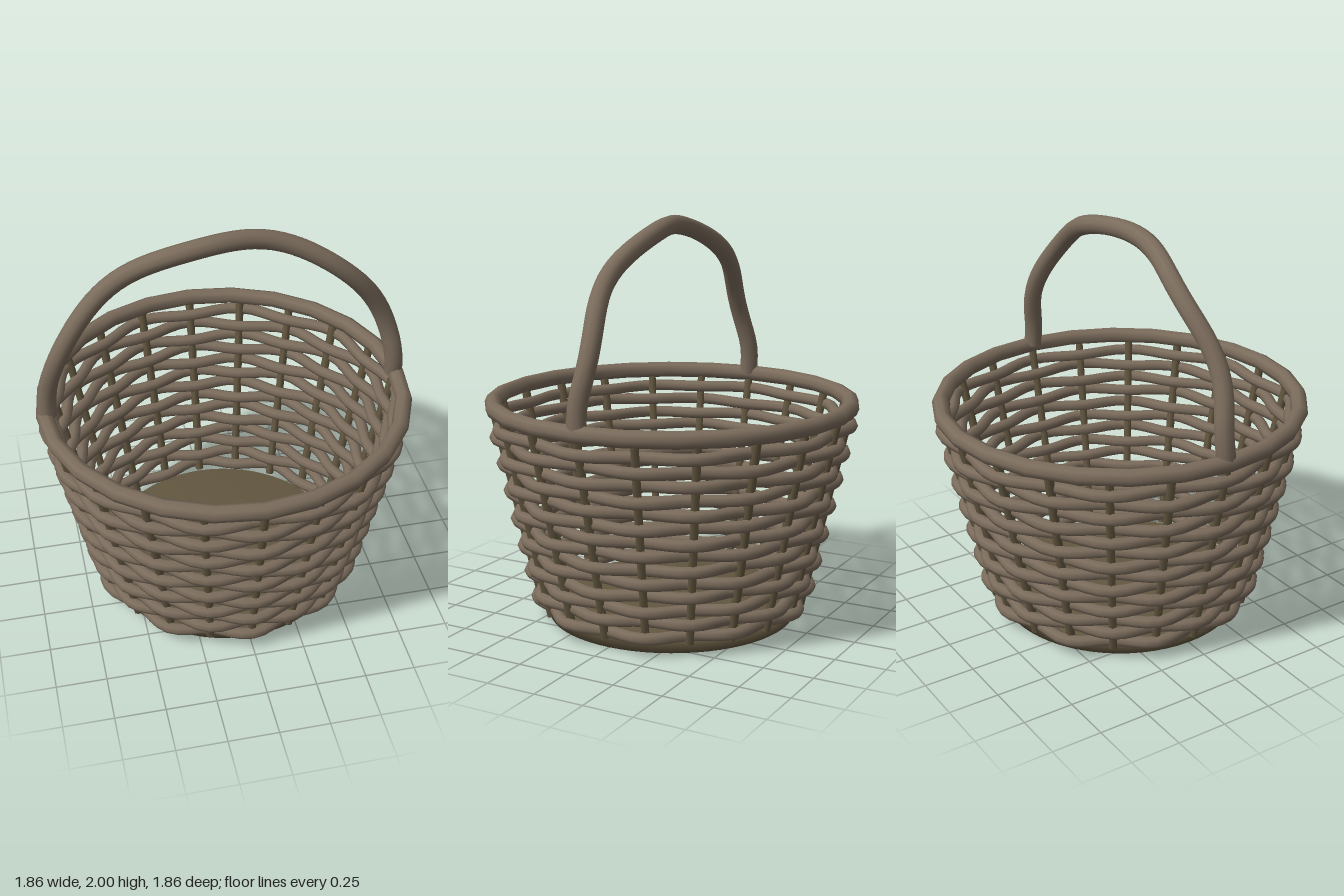
import * as THREE from 'three';

const STAKES = 20, ROWS = 14;

// Curve defined by a function of t in 0..1
class PathCurve extends THREE.Curve {
  constructor(fn) { super(); this.fn = fn; }
  getPoint(t, target = new THREE.Vector3()) { return target.copy(this.fn(t)); }
}

// Point at angle a (0 = front) around the upright axis
const around = (a, r, y) => new THREE.Vector3(Math.sin(a) * r, y, Math.cos(a) * r);

// Middle radius of the flared wall at height y
const wallRadius = (y) => 0.662 + 0.225 * (y - 0.09);

export function createModel() {
  const basket = new THREE.Group();
  basket.name = 'wickerBasket';
  const wicker = new THREE.MeshStandardMaterial({ color: 0x7b6c5c });
  wicker.name = 'wicker';
  const darkWood = new THREE.MeshStandardMaterial({ color: 0x635740 });
  darkWood.name = 'darkWood';

  const add = (name, geometry, material, parent = basket) => {
    const mesh = new THREE.Mesh(geometry, material);
    mesh.name = name;
    parent.add(mesh);
    return mesh;
  };
  const group = (name) => {
    const g = new THREE.Group();
    g.name = name;
    basket.add(g);
    return g;
  };

  // Base: round plate, softly shaded over its edges
  const plate = [[0, 0], [0.622, 0], [0.622, 0.07], [0, 0.07]];
  add('base', new THREE.LatheGeometry(plate.map(([r, y]) => new THREE.Vector2(r, y)), 64), darkWood);

  // Upright stakes leaning outward
  const stakes = group('stakes');
  for (let i = 0; i < STAKES; i++) {
    const a = (i / STAKES) * Math.PI * 2;
    const line = new THREE.LineCurve3(around(a, wallRadius(0.06), 0.06), around(a, wallRadius(1.08), 1.08));
    add('stake', new THREE.TubeGeometry(line, 1, 0.022, 6), darkWood, stakes);
  }

  // Woven strands passing in front of and behind alternate stakes, slightly uneven in height
  const weave = group('weave');
  for (let row = 0; row < ROWS; row++) {
    const y = 0.093 + (row * 0.905) / (ROWS - 1);
    const side = row % 2 ? -1 : 1;
    const strand = new PathCurve((t) => {
      const a = t * Math.PI * 2;
      const sway = 0.005 * Math.sin(3 * a + row * 2.4);
      return around(a, wallRadius(y) + side * 0.025 * Math.cos((a * STAKES) / 2), y + sway);
    });
    add('strand', new THREE.TubeGeometry(strand, STAKES * 4, 0.03, 8, true), wicker, weave);
  }

  // Rim
  const rim = add('rim', new THREE.TorusGeometry(0.887, 0.042, 8, 24), wicker);
  rim.rotation.x = Math.PI / 2;
  rim.position.y = 1.087;

  // Arched handle with a gentle sideways wave that dies out at the feet
  const arch = new PathCurve((t) => {
    const a = t * Math.PI;
    const fade = Math.min(1, 4 * Math.sin(a));
    const z = -0.022 * fade * Math.cos((a - 0.4) * 6.92);
    return new THREE.Vector3(0.874 * Math.cos(a), 1.09 + 0.863 * Math.sin(a), z);
  });
  add('handle', new THREE.TubeGeometry(arch, 56, 0.047, 10), wicker);

  return basket;
}
